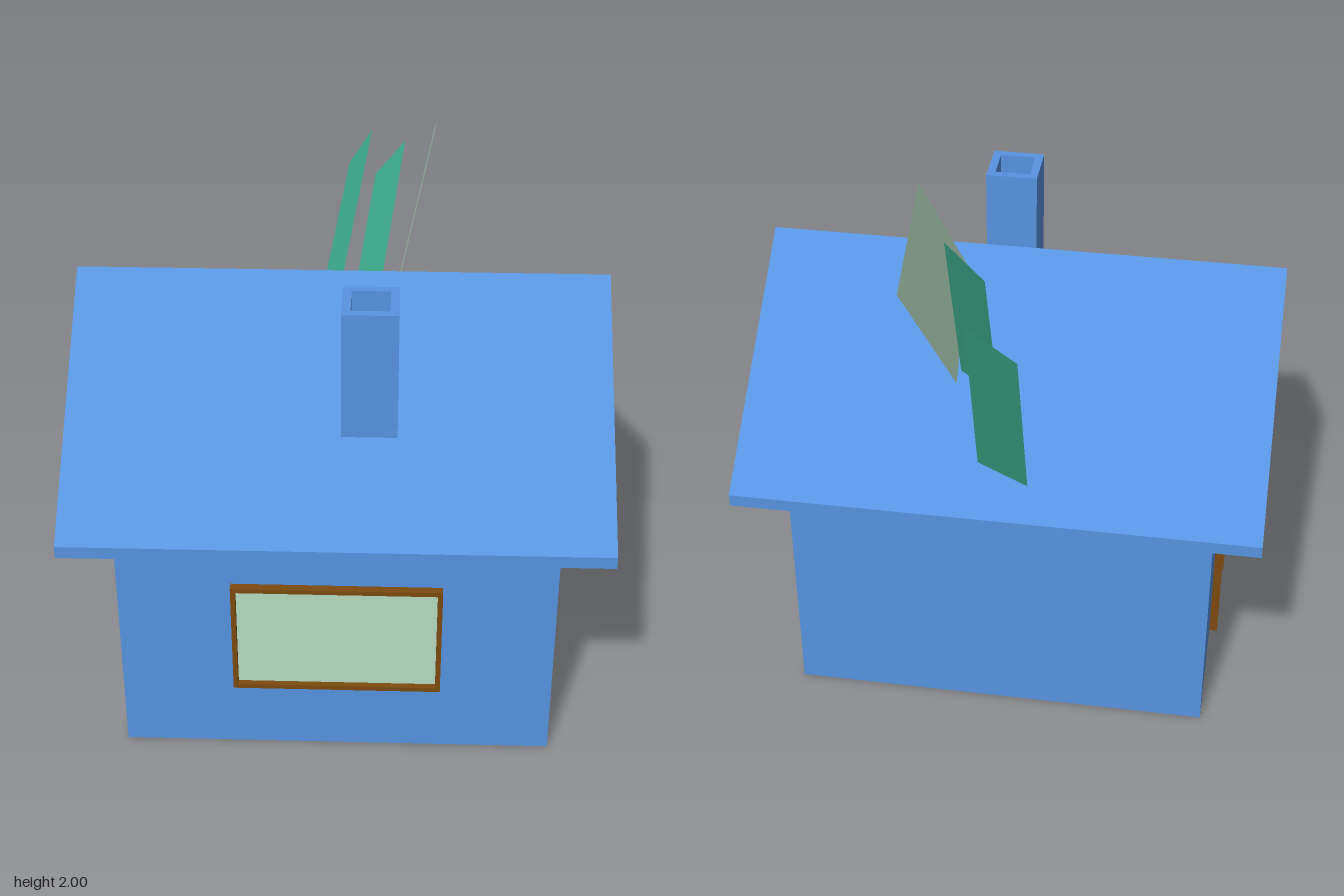
import * as THREE from 'three';

const RIDGE_Z = 0.145, RIDGE_Y = 1.58, SLOPE = 0.738, ROOF_T = 0.045;
const WALL_X = 0.76, FRONT = 0.82, BACK = -0.53;
const roofY = z => RIDGE_Y - SLOPE * Math.abs(z - RIDGE_Z);

const mat = (color, side = THREE.FrontSide) => new THREE.MeshStandardMaterial({ color, side });
const blue = mat(0x5793e0), blueThin = mat(0x5793e0, THREE.DoubleSide);
const wood = mat(0x7d4a0e), glass = mat(0xb8dcc2, THREE.DoubleSide);
const green = mat(0x48c8a4, THREE.DoubleSide), dark = mat(0x2a2018);

function add(parent, name, geometry, material) {
  const mesh = new THREE.Mesh(geometry, material);
  mesh.name = name;
  parent.add(mesh);
  return mesh;
}

function polygon(points) {
  return new THREE.Shape(points.map(([x, y]) => new THREE.Vector2(x, y)));
}

function rect(x0, y0, x1, y1) {
  return [[x0, y0], [x1, y0], [x1, y1], [x0, y1]];
}

// Extruded outline with an optional hole, from z = 0 to depth
function extrude(outline, hole, depth) {
  const shape = polygon(outline);
  if (hole) shape.holes.push(polygon(hole));
  return new THREE.ExtrudeGeometry(shape, { depth, bevelEnabled: false });
}

// Flat four-cornered sheet; two top corners, then two at the roof
function sheet(a, b, c, d) {
  const g = new THREE.BufferGeometry();
  g.setAttribute('position', new THREE.Float32BufferAttribute([...a, ...b, ...c, ...d], 3));
  g.setIndex([0, 1, 2, 0, 2, 3]);
  g.computeVertexNormals();
  return g;
}

export function createModel() {
  const house = new THREE.Group();
  house.name = 'house';

  // Walls: thin shell, open underneath
  const walls = new THREE.Group();
  walls.name = 'walls';
  house.add(walls);
  const under = z => roofY(z) - ROOF_T;
  for (const [name, z, turn] of [['frontWall', FRONT, 0], ['backWall', BACK, Math.PI]]) {
    const h = under(z);
    const g = new THREE.PlaneGeometry(2 * WALL_X, h).rotateY(turn).translate(0, h / 2, z);
    add(walls, name, g, blueThin);
  }
  const gable = [[BACK, 0], [FRONT, 0], [FRONT, under(FRONT)], [RIDGE_Z, under(RIDGE_Z)], [BACK, under(BACK)]];
  for (const [name, side] of [['leftWall', 1], ['rightWall', -1]]) {
    const pts = gable.map(([z, y]) => [-side * z, y]);
    const g = new THREE.ShapeGeometry(polygon(pts)).rotateY(side * Math.PI / 2);
    add(walls, name, g.translate(side * WALL_X, 0, 0), blueThin);
  }

  // Roof: folded slab with vertical eave edges
  const eaves = [[0.965, roofY(0.965)], [RIDGE_Z, RIDGE_Y], [-0.675, roofY(-0.675)]];
  const section = [...eaves, ...eaves.map(([z, y]) => [z, y - ROOF_T]).reverse()];
  add(house, 'roof', extrude(section, null, 1.86).translate(0, 0, -0.93).rotateY(-Math.PI / 2), blue);

  // Chimney: hollow shaft, its foot cut to the roof slope
  const shaft = extrude(rect(0.01, -0.64, 0.2, -0.45), rect(0.04, -0.61, 0.17, -0.48), 1);
  shaft.rotateX(-Math.PI / 2);
  const p = shaft.attributes.position;
  for (let i = 0; i < p.count; i++) {
    p.setY(i, p.getY(i) > 0.5 ? 1.69 : roofY(p.getZ(i)) - 0.01);
  }
  shaft.computeVertexNormals();
  add(house, 'chimney', shaft, blue);

  // Window
  const win = new THREE.Group();
  win.name = 'window';
  house.add(win);
  add(win, 'windowFrame',
    extrude(rect(-0.365, 0.275, 0.365, 0.72), rect(-0.348, 0.292, 0.348, 0.703), 0.04)
      .translate(0, 0, 0.81), wood);
  add(win, 'windowPane', new THREE.PlaneGeometry(0.7, 0.415).translate(0, 0.4975, 0.828), glass);

  // Door, built facing +z and turned to face -x
  const door = new THREE.Group();
  door.name = 'door';
  door.position.set(-WALL_X, 0, 0.15);
  door.rotation.y = -Math.PI / 2;
  house.add(door);
  const jambs = [[-0.195, 0], [-0.178, 0], [-0.178, 0.703], [0.178, 0.703],
    [0.178, 0], [0.195, 0], [0.195, 0.72], [-0.195, 0.72]];
  add(door, 'doorFrame', extrude(jambs, null, 0.04).translate(0, 0, -0.01), wood);
  add(door, 'doorPanel', new THREE.PlaneGeometry(0.356, 0.703).translate(0, 0.3515, 0.008), glass);
  add(door, 'doorKnob', new THREE.SphereGeometry(0.013, 16, 12).translate(0.12, 0.35, 0.021), dark);

  // Sheets standing out of the back slope
  const sheets = [
    [[0.32, 2, -0.18], [0.32, 1.8, -0.57], [0.185, 1.26, -0.285], [0.2, 1.52, 0.072], glass],
    [[0.21, 1.86, -0.32], [0.1, 1.57, -0.635], [0.03, 1.235, -0.31], [0.135, 1.49, 0.033], green],
    [[0.085, 1.75, -0.65], [-0.01, 1.455, -0.965], [-0.11, 1.053, -0.563], [-0.02, 1.315, -0.21], green],
  ];
  sheets.forEach(([a, b, c, d, m], i) => add(house, `roofSheet${i + 1}`, sheet(a, b, c, d), m));

  return house;
}
